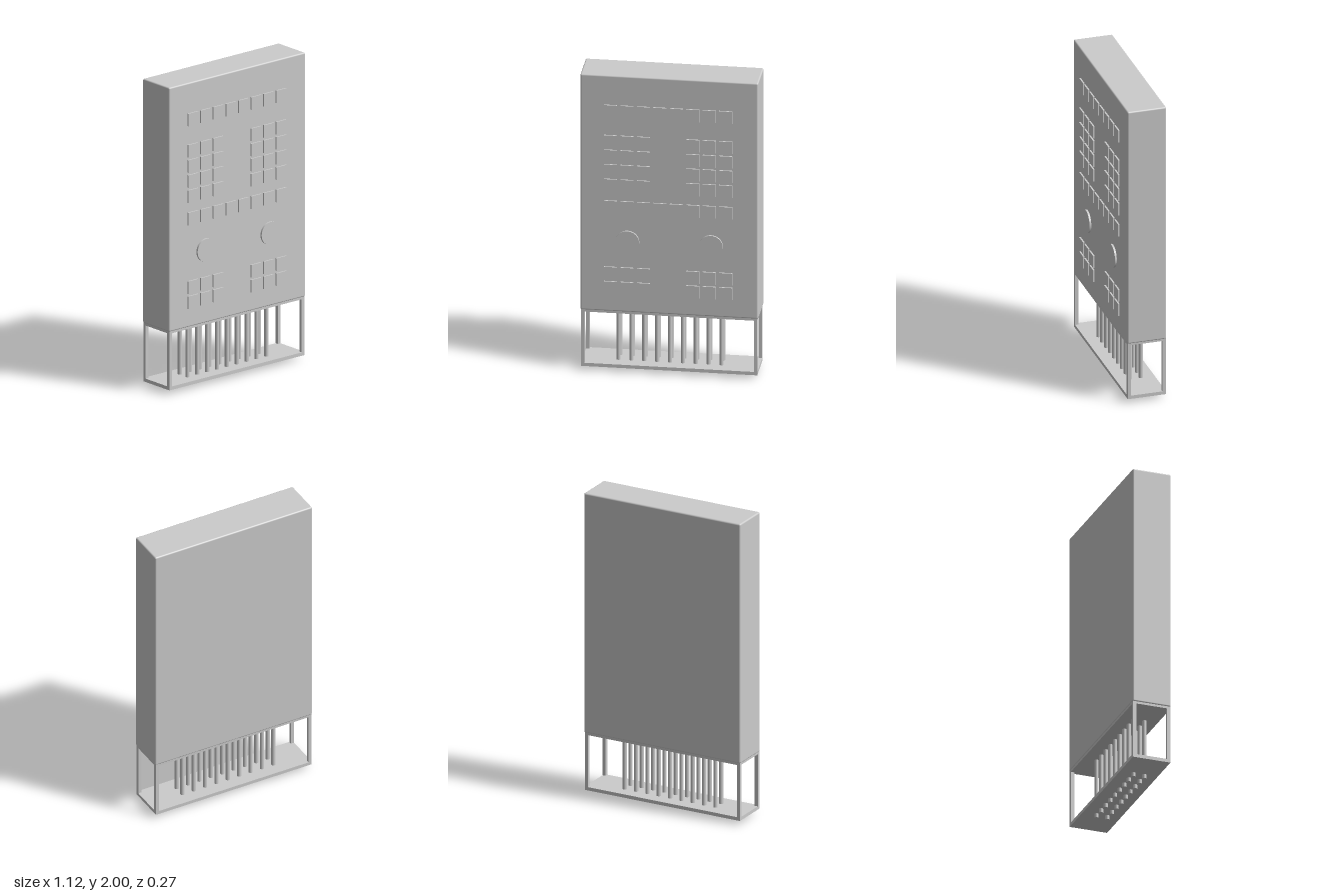
import * as THREE from 'three';
import { RoundedBoxGeometry } from 'three/addons/geometries/RoundedBoxGeometry.js';

export function createModel() {
  const model = new THREE.Group();
  const material = new THREE.MeshStandardMaterial({ color: 0xcccccc });

  function add(name, geometry, x, y, z, parent = model) {
    const mesh = new THREE.Mesh(geometry, material);
    mesh.name = name;
    mesh.position.set(x, y, z);
    parent.add(mesh);
    return mesh;
  }
  function group(name) {
    const g = new THREE.Group();
    g.name = name;
    model.add(g);
    return g;
  }

  // Main case with slightly softened edges
  const front = 0.121, back = -0.133;
  const midZ = (front + back) / 2;
  add('case', new RoundedBoxGeometry(1.115, 1.592, front - back, 3, 0.01), -0.001, 1.204, midZ);

  // Square keys: full rows span eight columns, split rows leave the middle two empty
  const keys = group('keys');
  const keyGeometry = new THREE.BoxGeometry(0.082, 0.082, 0.02);
  const rows = [
    [1.762, true], [1.558, false], [1.459, false], [1.361, false], [1.262, false],
    [1.116, true], [0.669, false], [0.571, false],
  ];
  for (const [y, full] of rows) {
    for (let c = 0; c < 8; c++) {
      if (!full && (c === 3 || c === 4)) continue;
      add('key', keyGeometry, -0.368 + c * 0.1031, y, front, keys);
    }
  }

  // Round buttons
  const buttonGeometry = new THREE.CylinderGeometry(0.074, 0.074, 0.024, 32).rotateX(Math.PI / 2);
  for (const side of [-1, 1]) add('roundButton', buttonGeometry, side * 0.262, 0.885, front);

  // Connector cage: top plate, floor plate and four corner posts
  const cage = group('connectorCage');
  const cageX = -0.002, width = 1.105, depth = 0.248, post = 0.022;
  add('topPlate', new THREE.BoxGeometry(width, 0.016, depth), cageX, 0.403, midZ, cage);
  add('floorPlate', new THREE.BoxGeometry(width, 0.022, depth), cageX, 0.038, midZ, cage);
  const postGeometry = new THREE.BoxGeometry(post, 0.36, post);
  for (const sx of [-1, 1]) {
    for (const sz of [-1, 1]) {
      add('post', postGeometry, cageX + sx * (width - post) / 2, 0.22, midZ + sz * (depth - post) / 2, cage);
    }
  }

  // Two rows of contact pins passing through the floor plate
  const pins = group('pins');
  const pinGeometry = new THREE.CylinderGeometry(0.0135, 0.0135, 0.405, 16);
  for (const z of [0.03, -0.042]) {
    for (let i = 0; i < 9; i++) add('pin', pinGeometry, -0.331 + i * 0.0807, 0.2025, z, pins);
  }

  return model;
}
